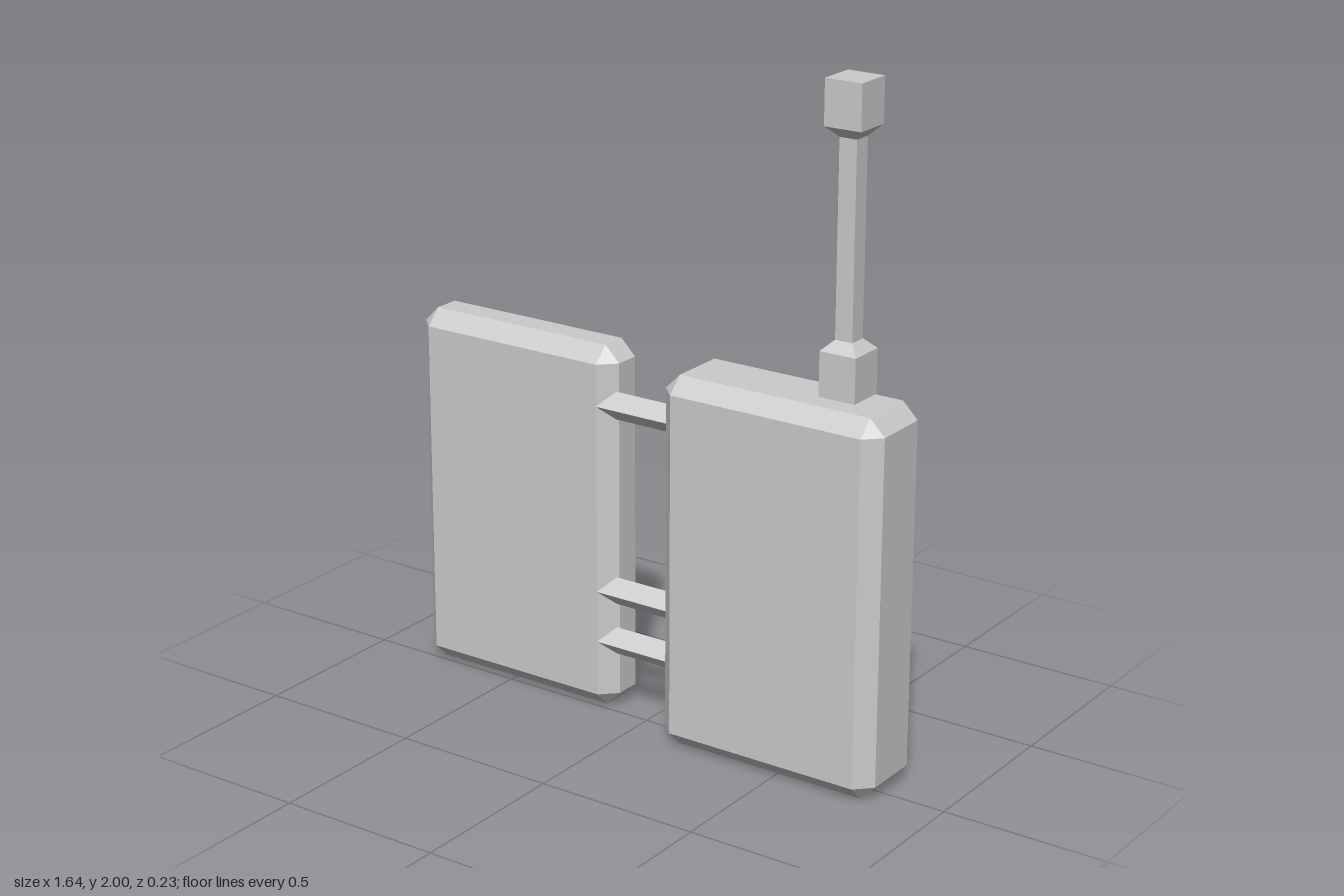
import * as THREE from 'three';

const material = new THREE.MeshStandardMaterial({ color: 0xcccccc, flatShading: true, side: THREE.DoubleSide });

// Joins successive rings of points with faces and caps the last ring.
function loft(rings, closed) {
  const positions = [];
  const triangle = (a, b, c) => {
    if (a.equals(b) || b.equals(c) || c.equals(a)) return;
    for (const p of [a, b, c]) positions.push(p.x, p.y, p.z);
  };
  const n = rings[0].length;
  for (let r = 0; r < rings.length - 1; r++) {
    const low = rings[r], high = rings[r + 1];
    for (let i = 0; i < (closed ? n : n - 1); i++) {
      const j = (i + 1) % n;
      triangle(low[i], low[j], high[j]);
      triangle(low[i], high[j], high[i]);
    }
  }
  const cap = rings[rings.length - 1];
  for (let i = 1; i < n - 1; i++) triangle(cap[0], cap[i], cap[i + 1]);
  const geometry = new THREE.BufferGeometry();
  geometry.setAttribute('position', new THREE.Float32BufferAttribute(positions, 3));
  geometry.computeVertexNormals();
  return geometry;
}

function addMesh(group, name, geometry) {
  const mesh = new THREE.Mesh(geometry, material);
  mesh.name = name;
  group.add(mesh);
  return mesh;
}

// Case open at the back, with cut corners and a bevel around its front panel.
function caseShell(x0, x1, back, front) {
  const y0 = 0, y1 = 1.12, c = 0.047;
  const outline = (z, inset) => {
    const l = x0 + c, r = x1 - c, b = y0 + c, t = y1 - c, e = c - inset;
    return [
      [l, b - e], [r, b - e], [r + e, b], [r + e, t],
      [r, t + e], [l, t + e], [l - e, t], [l - e, b],
    ].map(([x, y]) => new THREE.Vector3(x, y, z));
  };
  return loft([outline(back, 0), outline(front - c, 0), outline(front, c)], true);
}

export function createModel() {
  const group = new THREE.Group();

  // Deep and shallow cases
  addMesh(group, 'deepCase', caseShell(0.112, 0.818, -0.105, 0.113));
  addMesh(group, 'shallowCase', caseShell(-0.82, -0.115, -0.105, 0.02));

  // Diamond-section bars linking the cases
  const bars = new THREE.Group();
  bars.name = 'connectingBars';
  group.add(bars);
  const barGeometry = new THREE.CylinderGeometry(0.042, 0.042, 0.275, 4, 1, true).rotateZ(Math.PI / 2);
  for (const y of [0.947, 0.375, 0.217]) {
    addMesh(bars, 'connectingBar', barGeometry).position.set(-0.0245, y, -0.021);
  }

  // Antenna: square base, thin mast and square tip, open along the back
  const sections = [[1.115, 0.057], [1.25, 0.057], [1.28, 0.027], [1.84, 0.027], [1.87, 0.057], [2, 0.057]];
  const rings = sections.map(([y, h]) =>
    [[-h, -h], [-h, h], [h, h], [h, -h]].map(([x, z]) => new THREE.Vector3(0.626 + x, y, -0.056 + z)));
  addMesh(group, 'antenna', loft(rings, false));

  return group;
}
